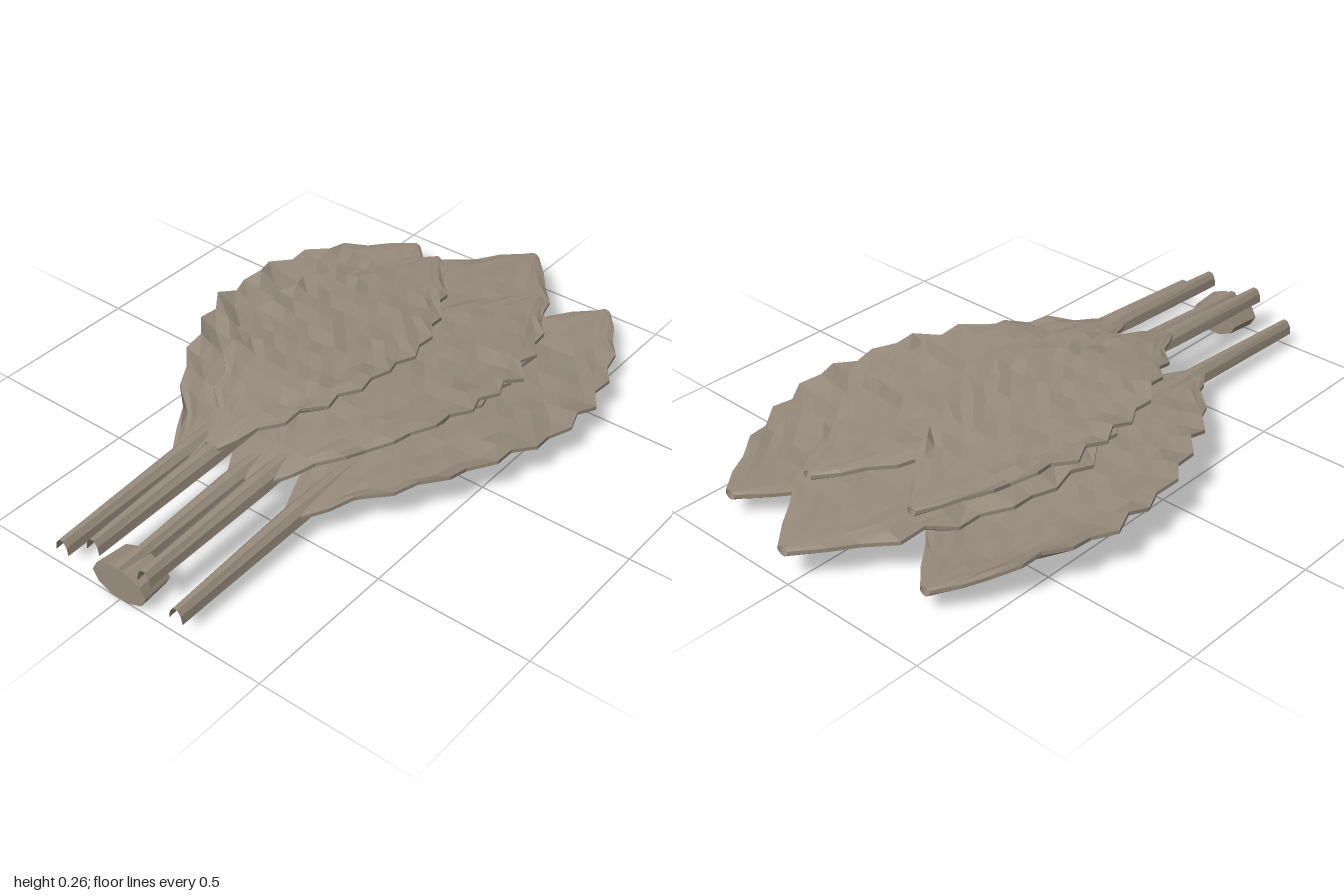
import * as THREE from 'three';

const stone = new THREE.MeshStandardMaterial({ color: 0x968a7b, side: THREE.DoubleSide });
stone.name = 'weathered taupe';

// small seeded random generator
function seeded(seed) {
  let s = seed * 7919 + 17;
  return () => (s = (s * 16807) % 2147483647) / 2147483647;
}

// piecewise linear lookup in [x, y] pairs
function lerpTable(table, x) {
  for (let i = 1; i < table.length; i++) {
    const [x0, y0] = table[i - 1], [x1, y1] = table[i];
    if (x <= x1) return y0 + (y1 - y0) * Math.max(0, (x - x0) / (x1 - x0));
  }
  return table[table.length - 1][1];
}

// skins rows of points into a faceted surface
function skin(rows, closed) {
  const n = rows[0].length, index = [];
  for (let i = 0; i < rows.length - 1; i++) {
    for (let j = 0; j < (closed ? n : n - 1); j++) {
      const a = i * n + j, b = i * n + (j + 1) % n;
      index.push(a, b, a + n, b, b + n, a + n);
    }
  }
  const indexed = new THREE.BufferGeometry();
  indexed.setAttribute('position', new THREE.Float32BufferAttribute(rows.flat(2), 3));
  indexed.setIndex(index);
  const geometry = indexed.toNonIndexed();
  geometry.computeVertexNormals();
  return geometry;
}

const halfWidth = [[0, 0.03], [0.07, 0.08], [0.21, 0.22], [0.36, 0.3], [0.48, 0.335],
  [0.63, 0.325], [0.79, 0.235], [0.89, 0.15], [1, 0.018]];
const highArch = [[0, -0.02], [0.1, 0], [0.28, 0.015], [0.5, 0.005], [0.8, -0.015], [1, -0.03]];
const lowArch = [[0, -0.01], [0.22, 0.005], [0.44, 0.002], [0.61, -0.012], [0.79, -0.028], [1, -0.02]];

// ragged, thin, slightly cupped blade; z0/z1 = axis at root and tip
function bladeGeometry({ seed, z0, z1, tip, width, y, rise, arch }) {
  const random = seeded(seed), root = -0.52, steps = 20, cols = 10, rows = [];
  for (let i = 0; i <= steps; i++) {
    const u = i / steps, fade = Math.min(1, 6 * u, 6 * (1 - u));
    const x = root + (tip - root) * u, axis = z0 + (z1 - z0) * u;
    const w = lerpTable(halfWidth, u) * width;
    const jag = [0, 1].map(() => ((i % 2 ? 0.013 : -0.013) + (random() - 0.5) * 0.014) * fade);
    const top = [], bottom = [];
    for (let j = 0; j <= cols; j++) {
      const v = -1 + 2 * j / cols, side = v < 0 ? 0 : 1;
      const z = axis + v * w + v * v * v * jag[side];
      const lift = v * v * rise[side] * Math.min(1, w / 0.25);
      const bump = (random() - 0.5) * (0.009 + 0.014 * v * v) * fade;
      const h = y + lerpTable(arch, u) + lift + bump;
      const thick = 0.012 + 0.02 * (1 - v * v);
      top.push([x, h + thick / 2, z]);
      bottom.unshift([x, h - thick / 2, z]);
    }
    rows.push([...top, ...bottom]);
  }
  return skin(rows, true);
}

const stemBase = [[-1, 0.045], [-0.5, 0.073], [-0.2, 0.088], [0.1, 0.085], [0.35, 0.068], [0.6, 0.04]];
const stemWidth = [[-1, 0.024], [-0.45, 0.037], [0.6, 0.024]];
const stemHeight = [[-1, 0.046], [-0.45, 0.046], [-0.2, 0.03], [0.6, 0.03]];

// arched channel, open below, sinking into the blade
function stemGeometry(z, lift, end) {
  const rows = stemBase.map(([x, base]) => {
    const w = lerpTable(stemWidth, x), h = lerpTable(stemHeight, x), row = [];
    for (let j = 0; j <= 5; j++) {
      const a = Math.PI * (1 - j / 5);
      row.push([-1 + (x + 1) * (end + 1) / 1.6, base + lift + h * Math.sin(a), z + w * Math.cos(a)]);
    }
    return row;
  });
  return skin(rows, false);
}

const blades = [
  { name: 'outerRight', seed: 3, z0: -0.22, z1: -0.37, tip: 0.84, width: 0.96, y: 0.098, rise: [0.065, 0], arch: lowArch, lift: 0, end: 0.6 },
  { name: 'outerLeft', seed: 5, z0: 0.21, z1: 0.36, tip: 0.9, width: 0.98, y: 0.098, rise: [0, 0.03], arch: lowArch, lift: 0, end: 0.6 },
  { name: 'centre', seed: 8, z0: 0, z1: 0.01, tip: 1, width: 1.1, y: 0.138, rise: [0.005, 0.005], arch: highArch, lift: 0.03, end: 0.45 },
  { name: 'innerLeft', seed: 11, z0: 0.1, z1: 0.19, tip: 0.75, width: 0.8, y: 0.175, rise: [0.015, 0.02], arch: highArch, lift: 0.07, end: 0.45 },
  { name: 'innerRight', seed: 14, z0: -0.09, z1: -0.18, tip: 0.7, width: 0.78, y: 0.2, rise: [0.035, 0.025], arch: highArch, lift: 0.075, end: 0.45 },
];

export function createModel() {
  const model = new THREE.Group();
  model.name = 'bladeFan';
  const add = (geometry, name) => {
    const mesh = new THREE.Mesh(geometry, stone);
    mesh.name = name;
    model.add(mesh);
    return mesh;
  };

  // five overlapping blades, each with its stem
  for (const b of blades) {
    add(bladeGeometry(b), b.name + 'Blade');
    add(stemGeometry(b.z0, b.lift, b.end), b.name + 'Stem');
  }

  // faceted hub between the stem ends, slightly narrower toward the blades
  const hub = new THREE.CylinderGeometry(0.1, 0.09, 0.105, 10).toNonIndexed();
  hub.rotateZ(Math.PI / 2);
  hub.scale(1, 0.58, 1);
  hub.computeVertexNormals();
  add(hub, 'hub').position.set(-0.9475, 0.0552, 0);

  return model;
}
